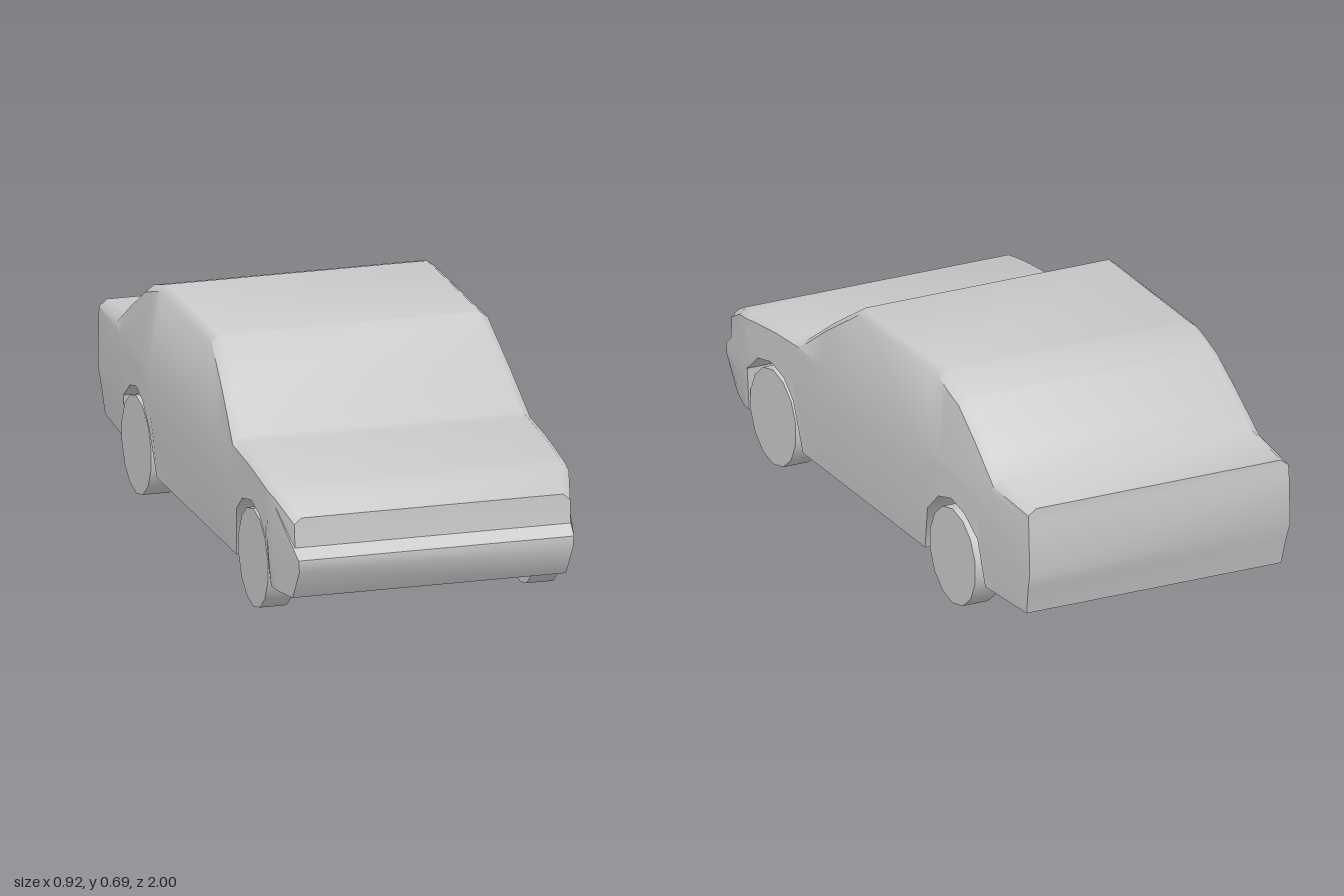
import * as THREE from 'three';
import { toCreasedNormals } from 'three/addons/utils/BufferGeometryUtils.js';

// Side outlines as [z, y], front to back
const ROOF = [[0.96, 0.365], [0.85, 0.42], [0.72, 0.44], [0.6, 0.455], [0.45, 0.465], [0.3, 0.575],
  [0.13, 0.685], [-0.4, 0.685], [-0.53, 0.645], [-0.65, 0.57], [-0.78, 0.48], [-0.99, 0.465]];
const SILL = [[0.93, 0.11], [0.8, 0.11], [0.79, 0.25], [0.72, 0.31], [0.635, 0.33], [0.55, 0.31],
  [0.49, 0.26], [0.45, 0.105], [-0.35, 0.105], [-0.39, 0.25], [-0.46, 0.315], [-0.535, 0.335],
  [-0.61, 0.315], [-0.69, 0.26], [-0.715, 0.115], [-0.96, 0.12]];
// Bumper columns, bottom to top
const NOSE = [[0.93, 0.11], [1, 0.21], [1, 0.245], [0.965, 0.275], [0.96, 0.345], [0.96, 0.365]];
const TAIL = [[-0.96, 0.12], [-0.98, 0.2], [-1, 0.26], [-0.993, 0.42], [-0.99, 0.445], [-0.99, 0.465]];
const ROWS = NOSE.length;

function heightAt(line, z) {
  const i = Math.max(1, line.findIndex((p) => p[0] <= z));
  const [a, b] = [line[i - 1], line[i]];
  return THREE.MathUtils.mapLinear(z, a[0], b[0], a[1], b[1]);
}

// Half width: widest at the belt line, narrower at the roof, sill and both ends
function halfWidth(y, z) {
  const { clamp, mapLinear } = THREE.MathUtils;
  let w = 0.462;
  if (y < 0.25) w = mapLinear(y, 0.11, 0.25, 0.45, 0.462);
  if (y > 0.44) w = mapLinear(y, 0.44, 0.67, 0.462, 0.427);
  w -= 0.035 * clamp((z - 0.83) / 0.13, 0, 1);
  return w - 0.03 * clamp((-z - 0.45) / 0.53, 0, 1);
}

function bodyColumn(z) {
  const top = heightAt(ROOF, z);
  const bottom = heightAt(SILL, z);
  const belt = Math.min(top - 0.04, 0.44);
  const mix = (t) => bottom + (belt - bottom) * t;
  return [bottom, mix(0.35), mix(0.7), belt, top - 0.02, top].map((y) => [z, y]);
}

function bodyGeometry() {
  const stations = [...new Set([...ROOF, ...SILL].map((p) => p[0]))]
    .filter((z) => z < 0.93 && z > -0.96).sort((a, b) => b - a);
  const columns = [NOSE, ...stations.map(bodyColumn), TAIL];
  const ring = ROWS * 2;
  const positions = [];
  const index = [];
  for (const column of columns) {
    const half = column.map(([z, y], r) => [halfWidth(y, z) - (r === ROWS - 1 ? 0.022 : 0), y, z]);
    half.forEach((p) => positions.push(...p));
    half.reverse().forEach(([x, y, z]) => positions.push(-x, y, z));
  }
  // Skin along the length
  for (let j = 0; j < columns.length - 1; j++) {
    for (let i = 0; i < ring; i++) {
      const n = (i + 1) % ring;
      const a = j * ring + i, b = j * ring + n;
      index.push(a, a + ring, b, b, a + ring, b + ring);
    }
  }
  // Front and back faces
  const last = (columns.length - 1) * ring;
  for (let r = 0; r < ROWS - 1; r++) {
    const a = r, b = r + 1, c = ring - 2 - r, d = ring - 1 - r;
    index.push(a, b, c, a, c, d);
    index.push(last + a, last + c, last + b, last + a, last + d, last + c);
  }
  const geometry = new THREE.BufferGeometry();
  geometry.setAttribute('position', new THREE.Float32BufferAttribute(positions, 3));
  geometry.setIndex(index);
  return toCreasedNormals(geometry, 0.75);
}

export function createModel() {
  const model = new THREE.Group();
  model.name = 'car';
  const material = new THREE.MeshStandardMaterial({ color: 0xcccccc });

  const body = new THREE.Mesh(bodyGeometry(), material);
  body.name = 'body';
  model.add(body);

  // Four wheels
  const wheelGeometry = new THREE.CylinderGeometry(0.151, 0.151, 0.083, 14, 1, false, Math.PI / 2);
  wheelGeometry.rotateZ(Math.PI / 2);
  for (const [end, z] of [['front', 0.635], ['rear', -0.54]]) {
    for (const [side, s] of [['Left', 1], ['Right', -1]]) {
      const wheel = new THREE.Mesh(wheelGeometry, material);
      wheel.name = `${end}${side}Wheel`;
      wheel.position.set(s * 0.413, 0.151, z);
      model.add(wheel);
    }
  }
  return model;
}
